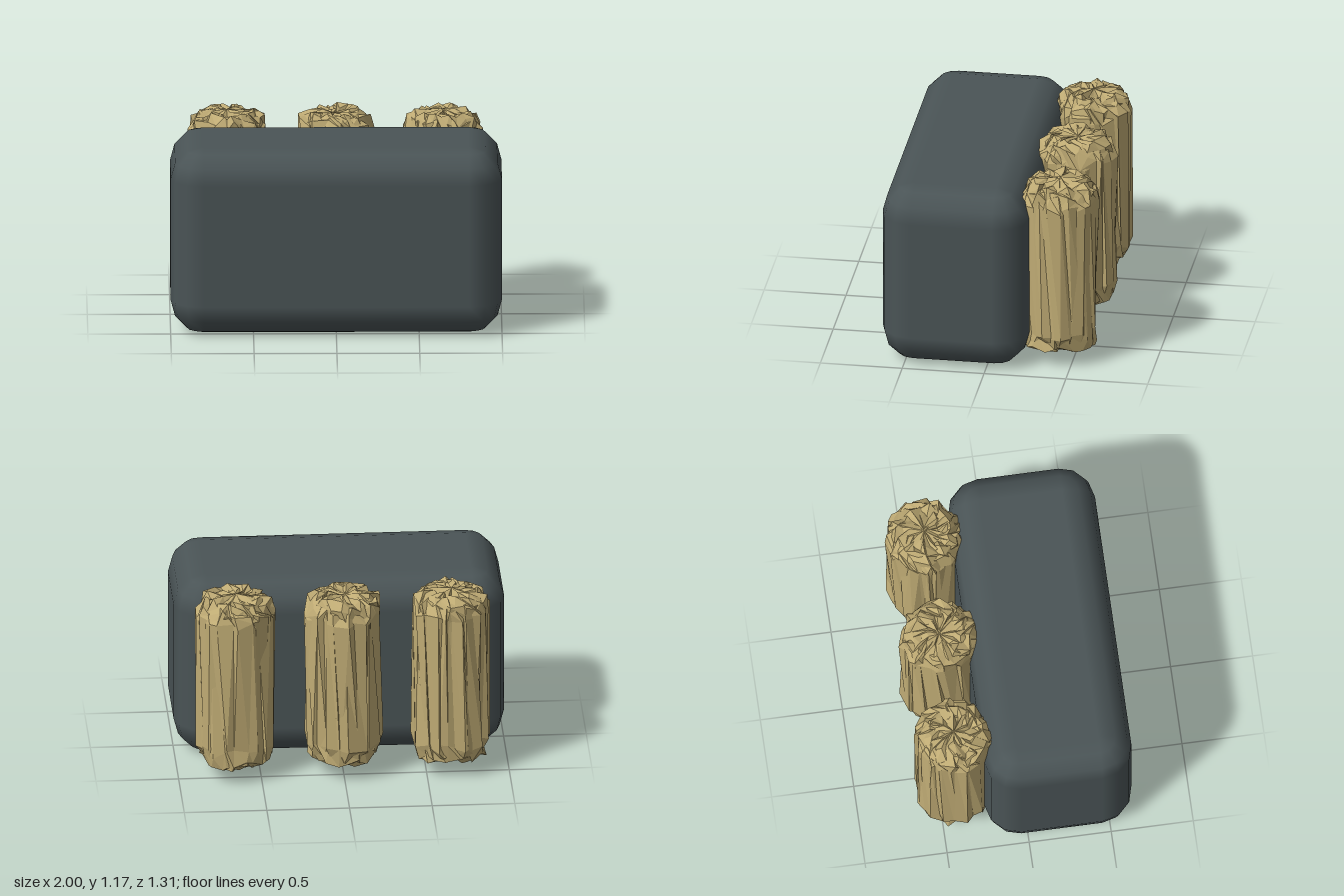
import * as THREE from 'three';
import { mergeVertices } from 'three/addons/utils/BufferGeometryUtils.js';

// Box with spherical corners and three bevel steps per quarter turn
function bevelledBox(w, h, d, r) {
  const geo = new THREE.SphereGeometry(1, 16, 9);
  const pos = geo.attributes.position, nor = geo.attributes.normal;
  const tilt = [0, 0, 30, 60, 90, 90, 120, 150, 180, 180].map(THREE.MathUtils.degToRad);
  const n = new THREE.Vector3();
  for (let row = 0; row < 10; row++) {
    for (let col = 0; col < 17; col++) {
      const corner = Math.floor(col / 4) % 4;
      const phi = (corner * 90 + (col % 4) * 30) * Math.PI / 180;
      const mid = (corner + 0.5) * Math.PI / 2;
      const t = tilt[row];
      n.set(-Math.cos(phi) * Math.sin(t), Math.cos(t), Math.sin(phi) * Math.sin(t));
      // first and last rows collapse to the middle of the top and bottom faces
      const spread = row === 0 || row === 9 ? 0 : 1;
      const sx = -Math.sign(Math.cos(mid)) * spread, sz = Math.sign(Math.sin(mid)) * spread;
      const sy = row < 5 ? 1 : -1;
      const i = row * 17 + col;
      pos.setXYZ(i,
        sx * (w / 2 - r) + n.x * r,
        sy * (h / 2 - r) + n.y * r,
        sz * (d / 2 - r) + n.z * r);
      nor.setXYZ(i, n.x, n.y, n.z);
    }
  }
  return geo;
}

function seeded(seed) {
  return () => {
    seed = (seed * 16807) % 2147483647;
    return seed / 2147483647 * 2 - 1;
  };
}

// Ragged bundle: a bevelled cylinder whose corners are shaken about
function raggedRoll(rand, scale, sides) {
  const profile = [
    [0, 0.1], [0.09, 0.09], [0.16, 0.09], [0.21, 0.12], [0.23, 0.2],
    [0.23, 1.05], [0.21, 1.12], [0.16, 1.155], [0.09, 1.155], [0, 1.15],
  ].map(([x, y]) => new THREE.Vector2(x * scale, y));
  let geo = new THREE.LatheGeometry(profile, sides);
  geo.deleteAttribute('normal');
  geo.deleteAttribute('uv');
  geo = mergeVertices(geo, 1e-4);
  const p = geo.attributes.position;
  for (let i = 0; i < p.count; i++) {
    const r = Math.hypot(p.getX(i), p.getZ(i)) + rand() * 0.024;
    const a = Math.atan2(p.getZ(i), p.getX(i)) + rand() * 0.17;
    const y = THREE.MathUtils.clamp(p.getY(i) + rand() * 0.03, 0.08, 1.175);
    p.setXYZ(i, r * Math.cos(a), y, r * Math.sin(a));
  }
  geo.computeVertexNormals();
  return geo;
}

export function createModel() {
  const model = new THREE.Group();
  const slate = new THREE.MeshStandardMaterial({ color: 0x4a5456 });
  const straw = new THREE.MeshStandardMaterial({
    color: 0xbfab74, flatShading: true, side: THREE.DoubleSide,
  });

  // Main block
  const body = new THREE.Mesh(bevelledBox(2, 1.15, 0.895, 0.2), slate);
  body.name = 'body';
  body.position.set(0, 0.575, 0.2025);
  model.add(body);

  // Three upright rolls behind it, each of two tangled layers
  [-0.65, 0, 0.65].forEach((x, k) => {
    const roll = new THREE.Group();
    roll.name = 'roll' + (k + 1);
    roll.position.set(x, 0, -0.412);
    [[0.98, 26], [0.96, 21]].forEach(([scale, sides], layer) => {
      const mesh = new THREE.Mesh(raggedRoll(seeded(1237 + k * 911 + layer * 4001), scale, sides), straw);
      mesh.name = layer ? 'innerStrands' : 'outerStrands';
      roll.add(mesh);
    });
    model.add(roll);
  });
  return model;
}
